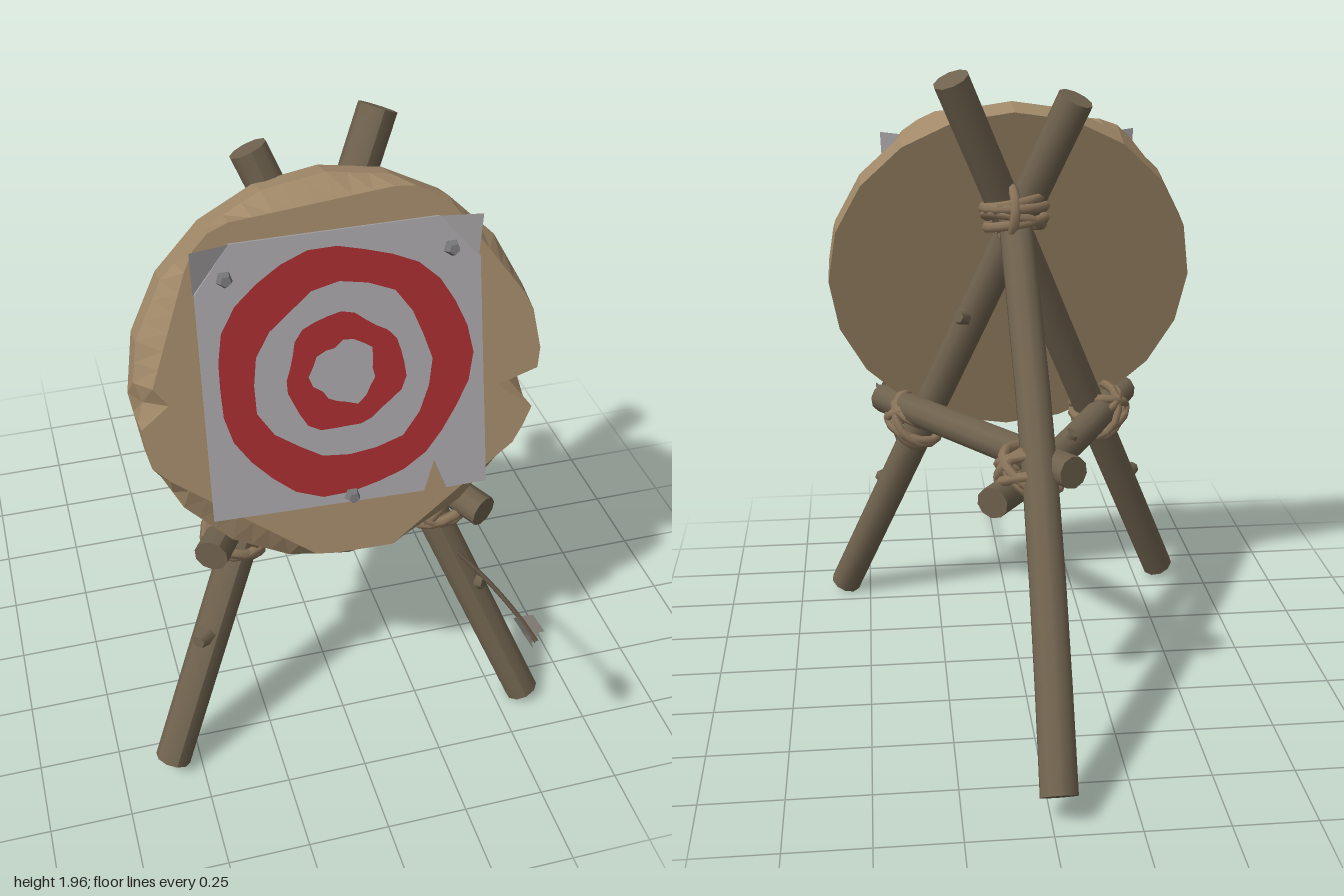
import * as THREE from 'three';

const mat = (name, color, extra = {}) => {
  const m = new THREE.MeshStandardMaterial({ color, ...extra });
  m.name = name;
  return m;
};
const V = (x, y, z) => new THREE.Vector3(x, y, z);
const UP = V(0, 1, 0), FWD = V(0, 0, 1);

export function createModel() {
  const root = new THREE.Group();
  root.name = 'archeryTarget';
  const bark = mat('bark brown', 0x6f624e);
  const wood = mat('cut wood tan', 0xa08868, { flatShading: true });
  const rope = mat('rope', 0x8a745a);
  const paper = mat('paper grey', 0xa5a2a4, { side: THREE.DoubleSide });
  const red = mat('target red', 0xa52c30, { side: THREE.DoubleSide });
  const metal = mat('nail grey', 0x77777a, { flatShading: true });
  const shaftMat = mat('arrow shaft', 0x5c4e40);
  const featherMat = mat('feather grey', 0x77736c, { side: THREE.DoubleSide });

  const add = (parent, name, geo, material) => {
    const m = new THREE.Mesh(geo, material);
    m.name = name;
    parent.add(m);
    return m;
  };

  // Log from a to b, with a gentle sideways bow
  const log = (name, a, b, r0, r1, bow = V(0, 0, 0)) => {
    const dir = b.clone().sub(a), len = dir.length();
    const geo = new THREE.CylinderGeometry(r1, r0, len, 10, 6);
    geo.applyQuaternion(new THREE.Quaternion().setFromUnitVectors(UP, dir.clone().normalize()));
    const mid = a.clone().add(b).multiplyScalar(0.5);
    geo.translate(mid.x, mid.y, mid.z);
    const p = geo.attributes.position, v = V(0, 0, 0);
    for (let i = 0; i < p.count; i++) {
      v.fromBufferAttribute(p, i);
      const t = THREE.MathUtils.clamp(v.clone().sub(a).dot(dir) / (len * len), 0, 1);
      v.addScaledVector(bow, Math.sin(Math.PI * t));
      p.setXYZ(i, v.x, v.y, v.z);
    }
    geo.computeVertexNormals();
    add(root, name, geo, bark);
    return dir.normalize();
  };

  // Tripod legs and the two cross bars
  const legR = log('frontLegRight', V(-0.59, 0.055, 0.6), V(0.2, 1.955, 0.055), 0.056, 0.058, V(0, 0, -0.012));
  const legL = log('frontLegLeft', V(0.59, 0.04, 0.6), V(-0.185, 1.89, 0.085), 0.054, 0.057);
  const legB = log('backLeg', V(-0.02, 0.1, -0.935), V(0, 1.52, 0.14), 0.056, 0.054, V(-0.015, 0.015, 0));
  const barL = log('crossBarLeft', V(0.43, 0.79, 0.52), V(-0.12, 0.865, -0.43), 0.05, 0.05);
  const barR = log('crossBarRight', V(-0.42, 0.8, 0.51), V(0.12, 0.77, -0.41), 0.052, 0.05, V(0, -0.035, 0));

  // Rope lashings: tilted loops around each joint
  const lash = (name, c, d1, d2, r) => {
    const g = new THREE.Group();
    g.name = name;
    g.position.copy(c);
    const sum = d1.clone().add(d2).normalize(), diff = d1.clone().sub(d2).normalize();
    [[d1, -0.03, 1], [sum, 0.02, 1.04], [sum, -0.02, 0.98], [diff, 0.022, 1], [d1, 0.035, 0.95]].forEach(([n, off, s], i) => {
      const ring = add(g, 'ropeLoop', new THREE.TorusGeometry(r * s, 0.017, 6, 14), rope);
      const axis = n.clone().add(V(0.12 * Math.sin(i * 2.3), 0.1 * Math.cos(i * 1.7), 0.1 * Math.sin(i * 4))).normalize();
      ring.quaternion.setFromUnitVectors(FWD, axis);
      ring.position.copy(axis).multiplyScalar(off);
      ring.scale.set(1, 0.9, 1);
    });
    root.add(g);
  };
  lash('lashingRight', V(-0.32, 0.765, 0.39), legR, barR, 0.093);
  lash('lashingLeft', V(0.32, 0.755, 0.39), legL, barL, 0.093);
  lash('lashingBack', V(0, 0.825, -0.32), legB, barL, 0.095);
  lash('lashingTop', V(0.0, 1.525, 0.145), V(0.15, 0.97, 0.15).normalize(), V(-0.3, 0.93, 0.2).normalize(), 0.095);

  // Stubs of cut twigs
  const stub = (p, d) => {
    const s = add(root, 'twigStub', new THREE.CylinderGeometry(0.022, 0.034, 0.05, 6), bark);
    s.position.copy(p);
    s.quaternion.setFromUnitVectors(UP, d.normalize());
  };
  stub(V(-0.46, 0.48, 0.52), V(-0.7, 0.1, 0.7));
  stub(V(0.165, 1.16, 0.245), V(0.6, 0.2, -0.8));
  stub(V(0.435, 0.49, 0.51), V(0.5, 0.1, 0.6));
  stub(V(-0.17, 0.79, 0.06), V(-0.5, 0.8, -0.3));

  // Target: leaning slice of a tree trunk, local z = 0 is its front face
  const target = new THREE.Group();
  target.name = 'target';
  target.position.set(0, 1.315, 0.435);
  target.rotation.x = -Math.PI / 12;
  root.add(target);

  const N = 60, deg = Math.PI / 180;
  const chips = [[232, 0.505], [160, 0.53], [95, 0.53], [305, 0.53], [35, 0.555], [268, 0.56]];
  const notches = { 58: 0.12, 30: 0.06 };
  const ringPoint = (i, layer) => {
    const k = i % N, a = k * 6;
    let r = 0.598 * Math.cos(9 * deg) / Math.cos(((a % 18) - 9) * deg);
    if (layer === 0) for (const [c, d] of chips) {
      const q = Math.cos((a - c) * deg);
      if (q > 0.5) r = Math.min(r, d / q);
    }
    if (layer < 2 && notches[k]) r -= notches[k] * (layer ? 0.5 : 1);
    return [r * Math.cos(a * deg), 0.98 * r * Math.sin(a * deg), [0, -0.06, -0.15][layer]];
  };
  const pos = [];
  for (let i = 0; i < N; i++) {
    for (let l = 0; l < 2; l++) {
      const f0 = ringPoint(i, l), f1 = ringPoint(i + 1, l), b0 = ringPoint(i, l + 1), b1 = ringPoint(i + 1, l + 1);
      pos.push(...f0, ...b0, ...b1, ...f0, ...b1, ...f1);
    }
    pos.push(0, 0, 0, ...ringPoint(i, 0), ...ringPoint(i + 1, 0));
    pos.push(0, 0, -0.15, ...ringPoint(i + 1, 2), ...ringPoint(i, 2));
  }
  const slice = new THREE.BufferGeometry();
  slice.setAttribute('position', new THREE.Float32BufferAttribute(pos, 3));
  slice.computeVertexNormals();
  add(target, 'woodSlice', slice, wood);

  // Paper sheet with a torn notch and curled top corners
  const sheet = new THREE.Shape([[-0.41, -0.37], [0.22, -0.388], [0.255, -0.295], [0.29, -0.39], [0.415, -0.39],
    [0.415, 0.31], [0.3, 0.44], [-0.3, 0.44], [-0.405, 0.31]].map(([x, y]) => new THREE.Vector2(x, y)));
  add(target, 'paperSheet', new THREE.ExtrudeGeometry(sheet, { depth: 0.01, bevelEnabled: false }), paper).position.z = 0.004;
  for (const s of [-1, 1]) {
    const curl = new THREE.BufferGeometry();
    const tri = [[s * 0.41, 0.31, 0.014], [s * 0.415, 0.44, 0.05], [s * 0.3, 0.44, 0.014]];
    if (s < 0) tri.reverse();
    curl.setAttribute('position', new THREE.Float32BufferAttribute(tri.flat(), 3));
    curl.computeVertexNormals();
    if (curl.attributes.normal.getZ(0) < 0) {
      curl.setIndex([0, 2, 1]);
      curl.computeVertexNormals();
    }
    add(target, 'paperCorner', curl, paper);
  }

  // Hand-painted red rings
  const blob = (r, seed, n) => Array.from({ length: n }, (_, i) => {
    const a = (i / n) * Math.PI * 2;
    const w = r + 0.009 * Math.sin(a * 3 + seed) + 0.006 * Math.sin(a * 7 + seed * 2);
    return new THREE.Vector2(w * Math.cos(a), w * Math.sin(a) + 0.026);
  });
  [[0.372, 0.262], [0.173, 0.094]].forEach(([ro, ri], i) => {
    const s = new THREE.Shape(blob(ro, i + 1, 28));
    s.holes.push(new THREE.Path(blob(ri, i + 4, 20)));
    add(target, 'paintedRing', new THREE.ShapeGeometry(s), red).position.z = 0.0165;
  });

  // Nails
  for (const [x, y] of [[-0.32, 0.345], [0.33, 0.345], [0, -0.36]]) {
    const n = add(target, 'nail', new THREE.CylinderGeometry(0.016, 0.026, 0.03, 5), metal);
    n.rotation.x = Math.PI / 2;
    n.position.set(x, y, 0.026);
  }

  // Arrow stuck in the front leg
  const arrow = new THREE.Group();
  arrow.name = 'arrow';
  root.add(arrow);
  const tail = V(0.425, 0.688, 0.985);
  const path = new THREE.CatmullRomCurve3([V(0.365, 0.6, 0.46), V(0.4, 0.642, 0.67), V(0.42, 0.673, 0.86), tail]);
  add(arrow, 'arrowShaft', new THREE.TubeGeometry(path, 12, 0.008, 6), shaftMat);
  const vane = new THREE.Shape([[0, -0.125], [0.036, -0.1], [0.036, -0.02], [0.022, -0.03], [0, -0.01]]
    .map(([x, y]) => new THREE.Vector2(x, y)));
  const fletching = new THREE.Group();
  fletching.name = 'fletching';
  fletching.position.copy(tail);
  fletching.quaternion.setFromUnitVectors(UP, path.getTangent(0.95));
  for (let i = 0; i < 3; i++) {
    add(fletching, 'feather', new THREE.ShapeGeometry(vane), featherMat).rotation.y = 0.5 + i * Math.PI * 2 / 3;
  }
  arrow.add(fletching);
  return root;
}
